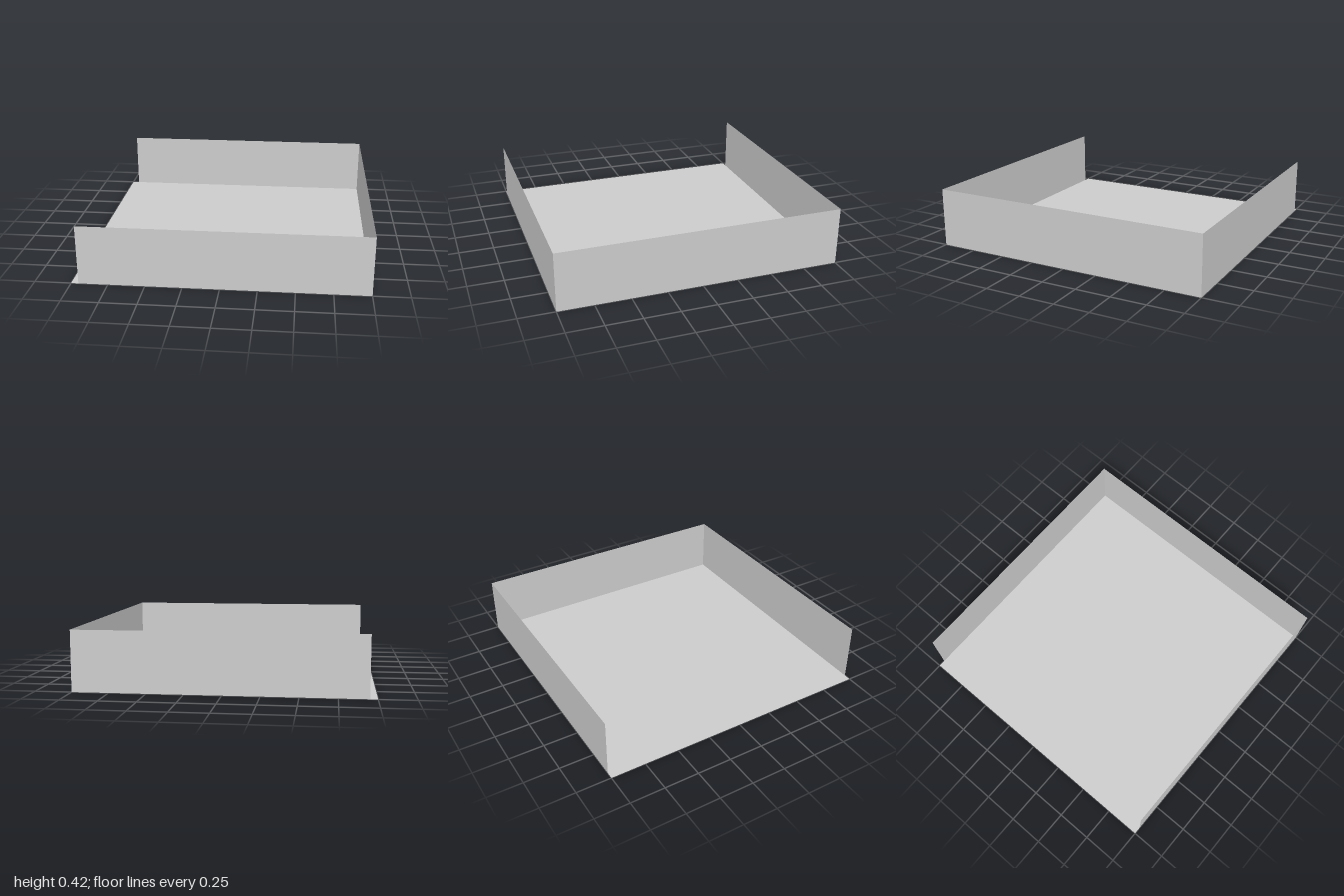
import * as THREE from 'three';

const HEIGHT = 0.416;  // wall height
const OPEN_X = -0.95;  // where the two long walls stop, short of the open edge

export function createModel() {
  const model = new THREE.Group();
  model.name = 'openTray';
  const material = new THREE.MeshStandardMaterial({
    color: 0xcccccc, side: THREE.DoubleSide, flatShading: true,
  });

  // Thin sheet facing +z before it is turned into place
  function addSheet(name, width, height, position, rotation = [0, 0, 0]) {
    const sheet = new THREE.Mesh(new THREE.PlaneGeometry(width, height), material);
    sheet.name = name;
    sheet.position.set(...position);
    sheet.rotation.set(...rotation);
    model.add(sheet);
  }

  // Square floor
  addSheet('floor', 2, 2, [0, 0, 0], [-Math.PI / 2, 0, 0]);

  // Closed end on the left
  addSheet('leftWall', 2, HEIGHT, [1, HEIGHT / 2, 0], [0, Math.PI / 2, 0]);

  // Front and back walls, the right end stays open
  const length = 1 - OPEN_X;
  const middle = (1 + OPEN_X) / 2;
  addSheet('frontWall', length, HEIGHT, [middle, HEIGHT / 2, 1]);
  addSheet('backWall', length, HEIGHT, [middle, HEIGHT / 2, -1], [0, Math.PI, 0]);

  return model;
}
